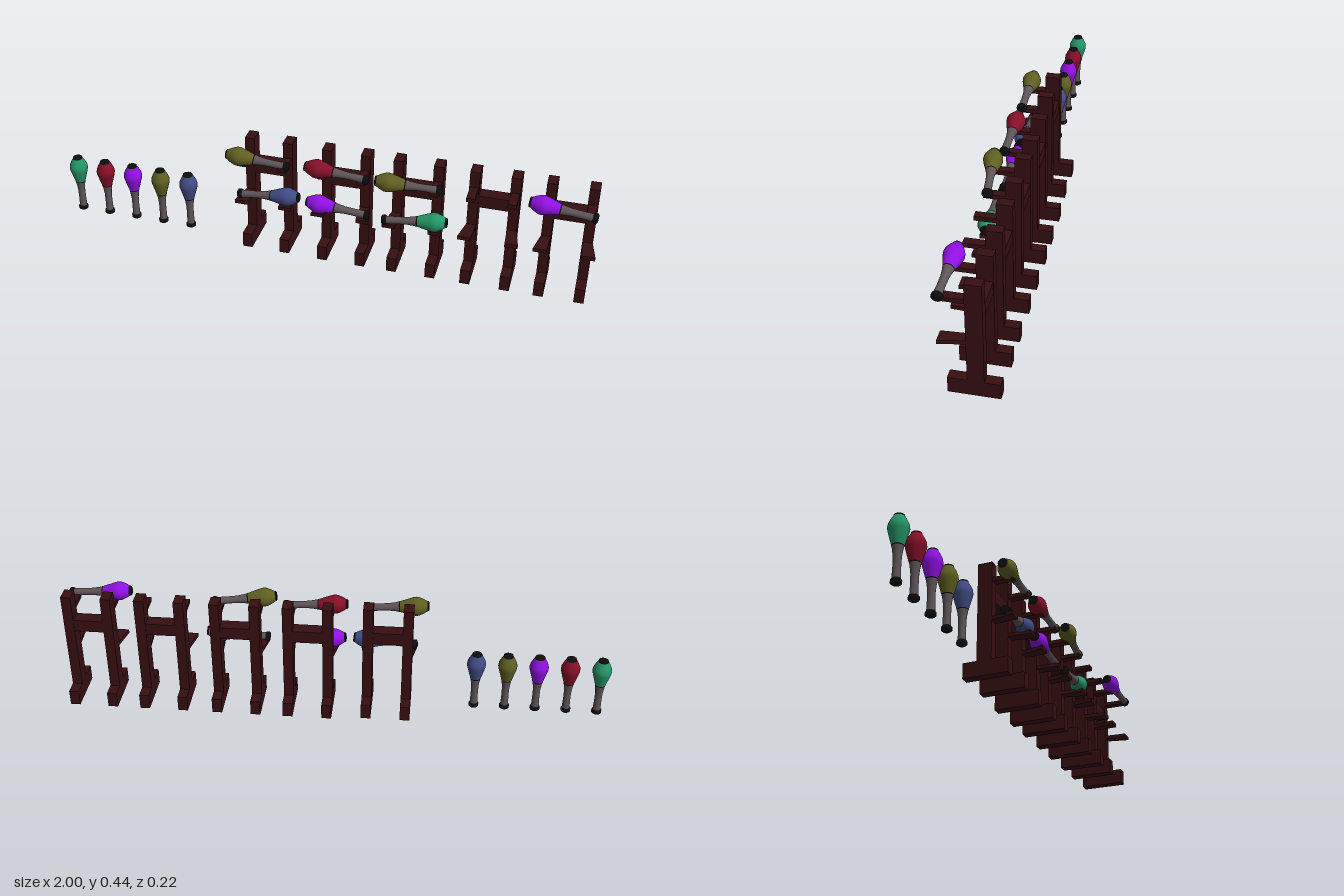
import * as THREE from 'three';

const mat = (name, color, side = THREE.FrontSide) => {
  const m = new THREE.MeshStandardMaterial({ color, side });
  m.name = name;
  return m;
};

export function createModel() {
  const wood = mat('dark red wood', 0x360f12);
  const grey = mat('grip grey', 0x5e5458);
  const black = mat('black rubber', 0x0d0d0d);
  const green = mat('green', 0x259668);
  const red = mat('red', 0x850f28);
  const purple = mat('purple', 0x9010e4);
  const olive = mat('olive', 0x5f5f22);
  const blue = mat('blue', 0x414c86);

  const root = new THREE.Group();
  root.name = 'clubsAndRacks';

  const add = (parent, name, geo, material, x = 0, y = 0, z = 0) => {
    const m = new THREE.Mesh(geo, material);
    m.name = name;
    m.position.set(x, y, z);
    parent.add(m);
    return m;
  };
  const lathe = pts => new THREE.LatheGeometry(pts.map(p => new THREE.Vector2(p[0], p[1])), 24);

  // Club sections, base at y = 0, total height 0.235
  const knobGeo = lathe([[0, 0], [0.013, 0], [0.018, 0.004], [0.018, 0.014], [0.014, 0.019]]);
  const handleGeo = lathe([[0.014, 0.019], [0.013, 0.06], [0.0135, 0.09], [0.016, 0.112], [0.019, 0.128]]);
  const bandGeo = new THREE.CylinderGeometry(0.0198, 0.0192, 0.004, 24, 1, true);
  const headGeo = lathe([[0.019, 0.128], [0.027, 0.156], [0.033, 0.178], [0.0345, 0.188],
    [0.033, 0.199], [0.026, 0.215], [0.0185, 0.228]]);
  const capGeo = lathe([[0.0185, 0.228], [0.0175, 0.233], [0.014, 0.235], [0, 0.235]]);

  const up = new THREE.Vector3(0, 1, 0);
  function club(name, color, base, dir) {
    const g = new THREE.Group();
    g.name = name;
    add(g, 'knob', knobGeo, black);
    add(g, 'handle', handleGeo, grey);
    add(g, 'band', bandGeo, black, 0, 0.128, 0);
    add(g, 'head', headGeo, color);
    add(g, 'cap', capGeo, black);
    g.position.set(...base);
    g.quaternion.setFromUnitVectors(up, new THREE.Vector3(...dir).normalize());
    root.add(g);
  }

  // Flat support with an outward flare, extruded downwards from its top
  function pegGeo(points, thickness) {
    const s = new THREE.Shape(points.map(p => new THREE.Vector2(p[0], p[1])));
    return new THREE.ExtrudeGeometry(s, { depth: thickness, bevelEnabled: false }).rotateX(Math.PI / 2);
  }
  const upperPeg = new THREE.BoxGeometry(0.03, 0.016, 0.075);
  const lowerPeg = side => {
    const pts = [[-0.017, -0.005], [0.017, -0.005], [0.035, 0.085], [-0.012, 0.085]];
    const p = pts.map(([x, z]) => [x * side, z]);
    return pegGeo(side < 0 ? p.reverse() : p, 0.014);
  };
  const lowerPegs = { '-1': lowerPeg(-1), '1': lowerPeg(1) };

  // One rack: two footed posts, a crossbar and four supports
  const postGeo = new THREE.BoxGeometry(0.036, 0.434, 0.055);
  const footGeo = new THREE.BoxGeometry(0.036, 0.058, 0.17);
  const barGeo = new THREE.BoxGeometry(0.11, 0.046, 0.05);
  [-0.193, 0.094, 0.356, 0.627, 0.891].forEach((x, i) => {
    const rack = new THREE.Group();
    rack.name = 'rack' + (i + 1);
    rack.position.set(x, i === 0 ? 0.007 : 0, i === 0 ? 0.005 : 0);
    for (const side of [-1, 1]) {
      const px = side * 0.0715;
      add(rack, 'post', postGeo, wood, px, 0.217, -0.0325);
      add(rack, 'foot', footGeo, wood, px, 0.029, -0.027);
      add(rack, 'upperPeg', upperPeg, wood, px, 0.365, 0.0325);
      add(rack, 'lowerPeg', lowerPegs[side], wood, px, 0.218, -0.004);
    }
    add(rack, 'crossbar', barGeo, wood, 0, 0.315, -0.033);
    root.add(rack);
  });

  // Standing clubs in a row
  [green, red, purple, olive, blue].forEach((c, i) =>
    club('standingClub' + (i + 1), c, [-0.965 + i * 0.1125, 0.012, 0], [0, 1, 0]));

  // Clubs resting on the racks: colour, handle end, direction to the head
  [
    [olive, [-0.1, 0.381, 0.06], [-1, 0.08, 0]],
    [red, [0.192, 0.376, 0.058], [-1, 0.08, -0.01]],
    [olive, [0.452, 0.378, 0.055], [-1, 0.08, 0.12]],
    [purple, [0.988, 0.374, 0.077], [-1, 0.1, -0.03]],
    [blue, [-0.297, 0.234, 0.055], [1, 0.09, -0.01]],
    [purple, [0.198, 0.228, 0.058], [-1, 0.09, 0]],
    [green, [0.246, 0.228, 0.068], [1, 0.09, -0.05]],
  ].forEach(([c, base, dir], i) => club('restingClub' + (i + 1), c, base, dir));

  return root;
}
